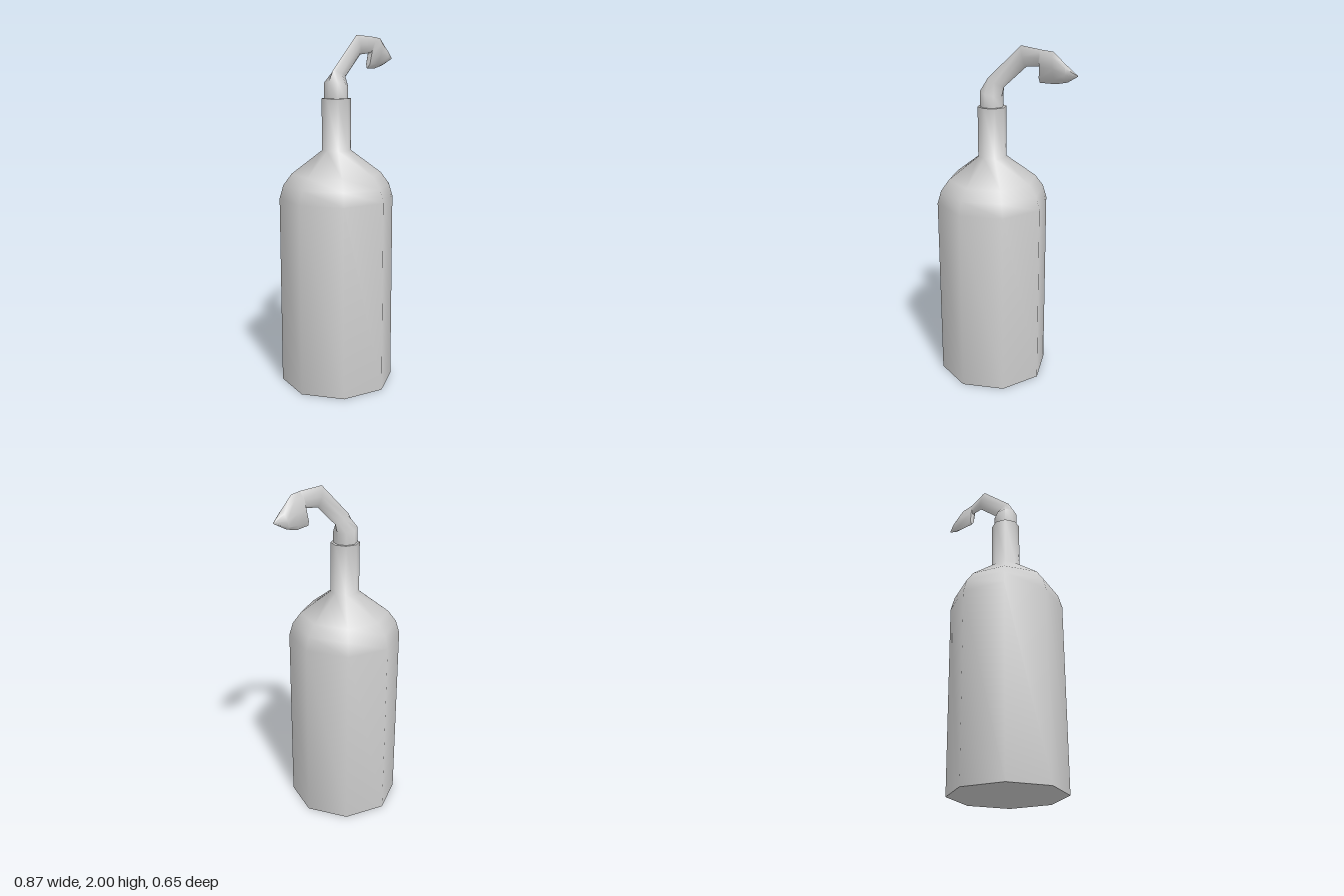
import * as THREE from 'three';
import { toCreasedNormals } from 'three/addons/utils/BufferGeometryUtils.js';

const SIDES = 8;

// Loft through oval sections given as [top point, bottom point, half width in z]
function loft(sections) {
  const pos = [], index = [];
  for (const [top, bottom, halfWidth] of sections) {
    const a = new THREE.Vector3(...top), b = new THREE.Vector3(...bottom);
    const centre = a.clone().add(b).multiplyScalar(0.5);
    const half = a.clone().sub(b).multiplyScalar(0.5);
    for (let k = 0; k < SIDES; k++) {
      const t = (k / SIDES) * Math.PI * 2;
      const p = centre.clone().addScaledVector(half, Math.cos(t));
      pos.push(p.x, p.y, p.z + Math.sin(t) * halfWidth);
    }
  }
  for (let i = 0; i < sections.length - 1; i++) {
    for (let k = 0; k < SIDES; k++) {
      const a = i * SIDES + k, b = i * SIDES + (k + 1) % SIDES;
      index.push(a, b, a + SIDES, b, b + SIDES, a + SIDES);
    }
  }
  const g = new THREE.BufferGeometry();
  g.setAttribute('position', new THREE.Float32BufferAttribute(pos, 3));
  g.setIndex(index);
  return toCreasedNormals(g, 1.2);
}

export function createModel() {
  const model = new THREE.Group();
  model.name = 'bottleWithSpout';
  const grey = new THREE.MeshStandardMaterial({ color: 0xcccccc });
  grey.name = 'plain grey';

  // Eight-sided bottle: base, straight wall, rounded shoulder, neck and flat rim
  const profile = [
    [0, 0], [0.325, 0], [0.325, 1.09], [0.303, 1.165], [0.255, 1.23],
    [0.082, 1.36], [0.082, 1.65], [0, 1.65],
  ].map(([r, y]) => new THREE.Vector2(r, y));
  const bottle = new THREE.Mesh(
    toCreasedNormals(new THREE.LatheGeometry(profile, SIDES), 1.2), grey);
  bottle.name = 'bottle';
  bottle.position.x = -0.112;
  model.add(bottle);

  // Stopper that narrows into a bent arm and ends in a slightly twisted, pointed head
  const spout = new THREE.Mesh(loft([
    [[-0.18, 1.64, 0], [-0.046, 1.64, 0], 0.068],
    [[-0.18, 1.74, 0], [-0.046, 1.71, 0], 0.068],
    [[-0.14, 1.805, 0], [-0.03, 1.765, 0], 0.018],
    [[0.08, 2.0, -0.003], [0.115, 1.89, -0.003], 0.018],
    [[0.215, 1.991, 0.02], [0.205, 1.9, 0.005], 0.016],
    [[0.225, 1.99, 0.02], [0.195, 1.81, -0.012], 0.02],
    [[0.29, 1.985, 0.015], [0.29, 1.81, -0.025], 0.028],
    [[0.37, 1.92, 0.008], [0.36, 1.826, -0.022], 0.026],
    [[0.434, 1.87, 0], [0.432, 1.866, 0], 0.002],
  ]), grey);
  spout.name = 'spout';
  model.add(spout);

  return model;
}
